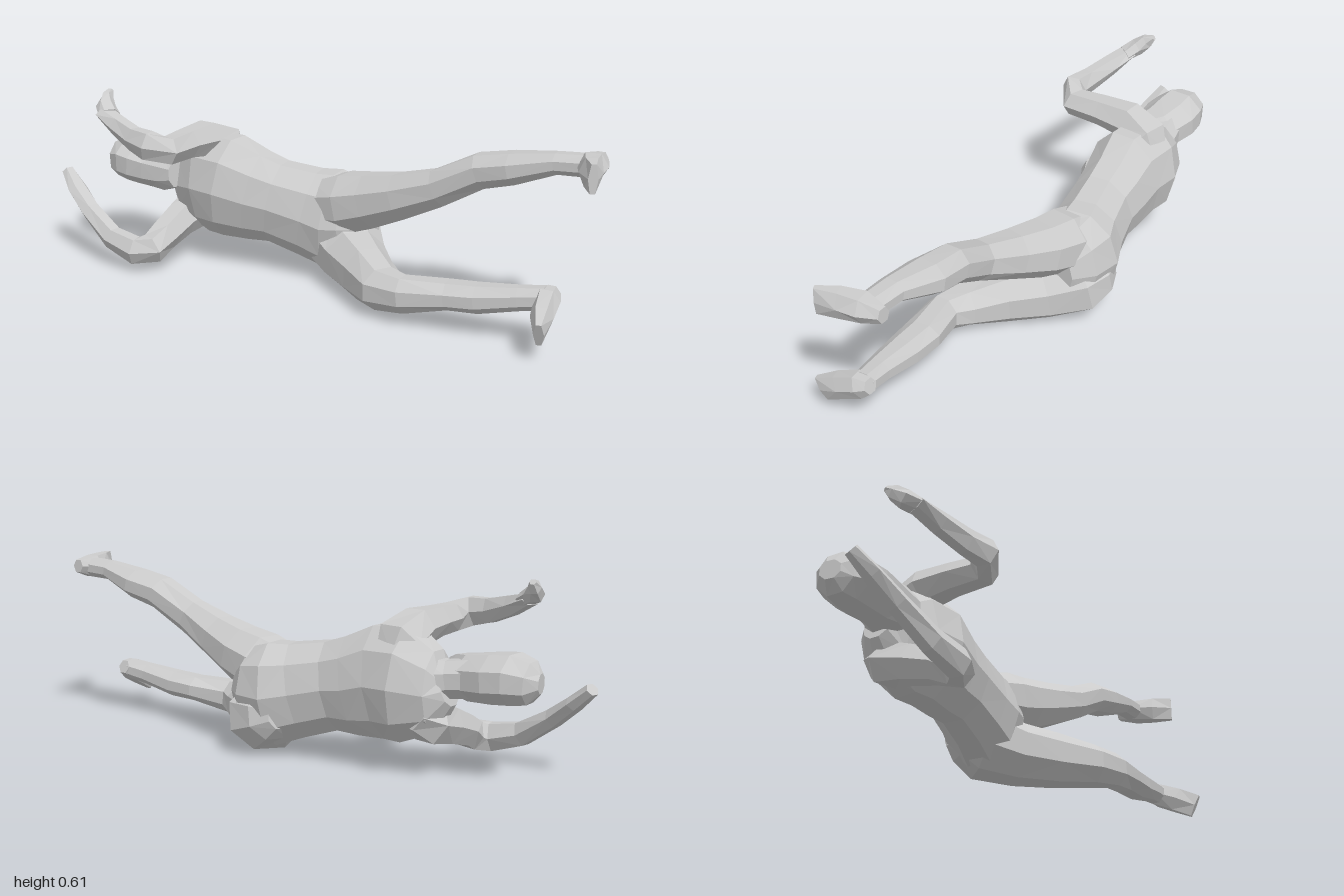
import * as THREE from 'three';

const material = new THREE.MeshStandardMaterial({ color: 0xcccccc, flatShading: true });

// Lofts a faceted skin through rings [x, y, z, half height, half width],
// each set square to the path through the ring centres.
function loft(name, sides, rings) {
  const centres = rings.map(r => new THREE.Vector3(r[0], r[1], r[2]));
  const pos = [], idx = [], last = rings.length - 1;
  rings.forEach((r, i) => {
    const t = centres[Math.min(i + 1, last)].clone().sub(centres[Math.max(i - 1, 0)]).normalize();
    const a = new THREE.Vector3(0, 1, 0).addScaledVector(t, -t.y).normalize();
    const b = t.clone().cross(a);
    for (let j = 0; j < sides; j++) {
      const ang = (j + 0.5) / sides * Math.PI * 2;
      const p = centres[i].clone()
        .addScaledVector(a, Math.cos(ang) * r[3] * 1.07)
        .addScaledVector(b, Math.sin(ang) * r[4] * 1.07);
      pos.push(p.x, p.y, p.z);
    }
  });
  for (let i = 0; i < last; i++) {
    for (let j = 0; j < sides; j++) {
      const k = (j + 1) % sides, p = i * sides, q = p + sides;
      // alternate the diagonals for an irregular faceted look
      if ((i + j) % 2) idx.push(p + j, p + k, q + j, p + k, q + k, q + j);
      else idx.push(p + j, p + k, q + k, p + j, q + k, q + j);
    }
  }
  // end caps
  const c0 = pos.length / 3, c1 = c0 + 1;
  for (const c of [centres[0], centres[last]]) pos.push(c.x, c.y, c.z);
  for (let j = 0; j < sides; j++) {
    const k = (j + 1) % sides, e = last * sides;
    idx.push(c0, k, j, c1, e + j, e + k);
  }
  const g = new THREE.BufferGeometry();
  g.setAttribute('position', new THREE.Float32BufferAttribute(pos, 3));
  g.setIndex(idx);
  g.computeVertexNormals();
  const mesh = new THREE.Mesh(g, material);
  mesh.name = name;
  return mesh;
}

export function createModel() {
  const model = new THREE.Group();
  model.name = 'recliningFigure';
  const add = (name, sides, rings) => model.add(loft(name, sides, rings));

  // trunk, from shoulders to seat
  add('torso', 10, [
    [-0.615, 0.28, -0.09, 0.05, 0.05], [-0.575, 0.268, -0.09, 0.125, 0.09],
    [-0.48, 0.28, -0.09, 0.175, 0.127], [-0.38, 0.278, -0.075, 0.175, 0.128],
    [-0.28, 0.255, -0.085, 0.155, 0.115], [-0.2, 0.245, -0.09, 0.14, 0.108],
    [-0.08, 0.22, -0.11, 0.15, 0.115], [0, 0.203, -0.13, 0.165, 0.13],
    [0.08, 0.205, -0.13, 0.145, 0.112], [0.14, 0.205, -0.125, 0.08, 0.065],
  ]);

  // neck and head, chin towards the front
  add('neck', 8, [
    [-0.54, 0.295, -0.09, 0.085, 0.075], [-0.61, 0.31, -0.08, 0.058, 0.058],
    [-0.7, 0.32, -0.06, 0.06, 0.06],
  ]);
  add('head', 8, [
    [-0.568, 0.314, 0.01, 0.048, 0.033], [-0.61, 0.312, -0.005, 0.066, 0.055],
    [-0.67, 0.316, -0.035, 0.071, 0.09], [-0.75, 0.323, -0.045, 0.075, 0.1],
    [-0.81, 0.328, -0.048, 0.076, 0.093], [-0.865, 0.322, -0.05, 0.064, 0.068],
    [-0.893, 0.322, -0.045, 0.03, 0.035],
  ]);

  // upper side: arm bent forward, forearm reaching past the head
  add('upperArm', 6, [
    [-0.44, 0.36, -0.15, 0.04, 0.06], [-0.45, 0.41, -0.11, 0.075, 0.08],
    [-0.465, 0.45, -0.03, 0.062, 0.062], [-0.465, 0.455, 0.08, 0.05, 0.053],
    [-0.462, 0.455, 0.19, 0.047, 0.05], [-0.517, 0.474, 0.23, 0.05, 0.042],
    [-0.59, 0.483, 0.21, 0.042, 0.034], [-0.68, 0.51, 0.18, 0.034, 0.035],
    [-0.76, 0.54, 0.15, 0.02, 0.038],
  ]);
  add('upperHand', 6, [
    [-0.74, 0.538, 0.155, 0.022, 0.036], [-0.78, 0.558, 0.125, 0.028, 0.032],
    [-0.795, 0.583, 0.095, 0.025, 0.02], [-0.8, 0.602, 0.07, 0.01, 0.01],
  ]);

  // lower side arm and hand
  add('lowerArm', 6, [
    [-0.52, 0.2, -0.14, 0.05, 0.06], [-0.55, 0.172, -0.09, 0.07, 0.073],
    [-0.56, 0.145, 0, 0.06, 0.057], [-0.56, 0.112, 0.1, 0.052, 0.052],
    [-0.56, 0.083, 0.17, 0.05, 0.052], [-0.61, 0.076, 0.203, 0.048, 0.042],
    [-0.72, 0.102, 0.193, 0.04, 0.036], [-0.84, 0.175, 0.163, 0.03, 0.035],
    [-0.92, 0.235, 0.135, 0.024, 0.035], [-0.985, 0.29, 0.11, 0.02, 0.022],
  ]);

  // upper leg, raised and stretched back, with its foot
  add('upperLeg', 8, [
    [-0.04, 0.26, -0.11, 0.085, 0.085], [0.08, 0.283, -0.1, 0.1, 0.105],
    [0.18, 0.31, -0.085, 0.09, 0.095], [0.3, 0.35, -0.06, 0.075, 0.078],
    [0.44, 0.405, -0.04, 0.06, 0.06], [0.58, 0.48, -0.045, 0.055, 0.066],
    [0.69, 0.505, -0.045, 0.05, 0.07], [0.83, 0.542, -0.035, 0.033, 0.046],
    [0.93, 0.548, -0.035, 0.034, 0.042],
  ]);
  add('upperFoot', 6, [
    [0.94, 0.555, -0.1, 0.024, 0.022], [0.938, 0.55, -0.03, 0.042, 0.045],
    [0.957, 0.548, 0.04, 0.048, 0.034], [0.986, 0.548, 0.105, 0.048, 0.014],
  ]);

  // lower leg, thigh drawn forward, knee bent, with its foot
  add('lowerLeg', 8, [
    [-0.065, 0.15, -0.21, 0.045, 0.04], [-0.03, 0.143, -0.19, 0.08, 0.09],
    [0.03, 0.128, -0.148, 0.113, 0.128], [0.12, 0.1, -0.06, 0.1, 0.105],
    [0.22, 0.092, 0.03, 0.088, 0.085], [0.32, 0.087, 0.11, 0.068, 0.077],
    [0.41, 0.095, 0.138, 0.058, 0.058], [0.55, 0.113, 0.11, 0.044, 0.064],
    [0.65, 0.12, 0.105, 0.045, 0.058], [0.78, 0.143, 0.095, 0.037, 0.043],
    [0.86, 0.155, 0.085, 0.036, 0.036],
  ]);
  add('lowerFoot', 6, [
    [0.866, 0.165, 0.05, 0.025, 0.024], [0.865, 0.152, 0.09, 0.042, 0.038],
    [0.876, 0.122, 0.16, 0.045, 0.033], [0.893, 0.092, 0.225, 0.045, 0.015],
  ]);
  return model;
}
